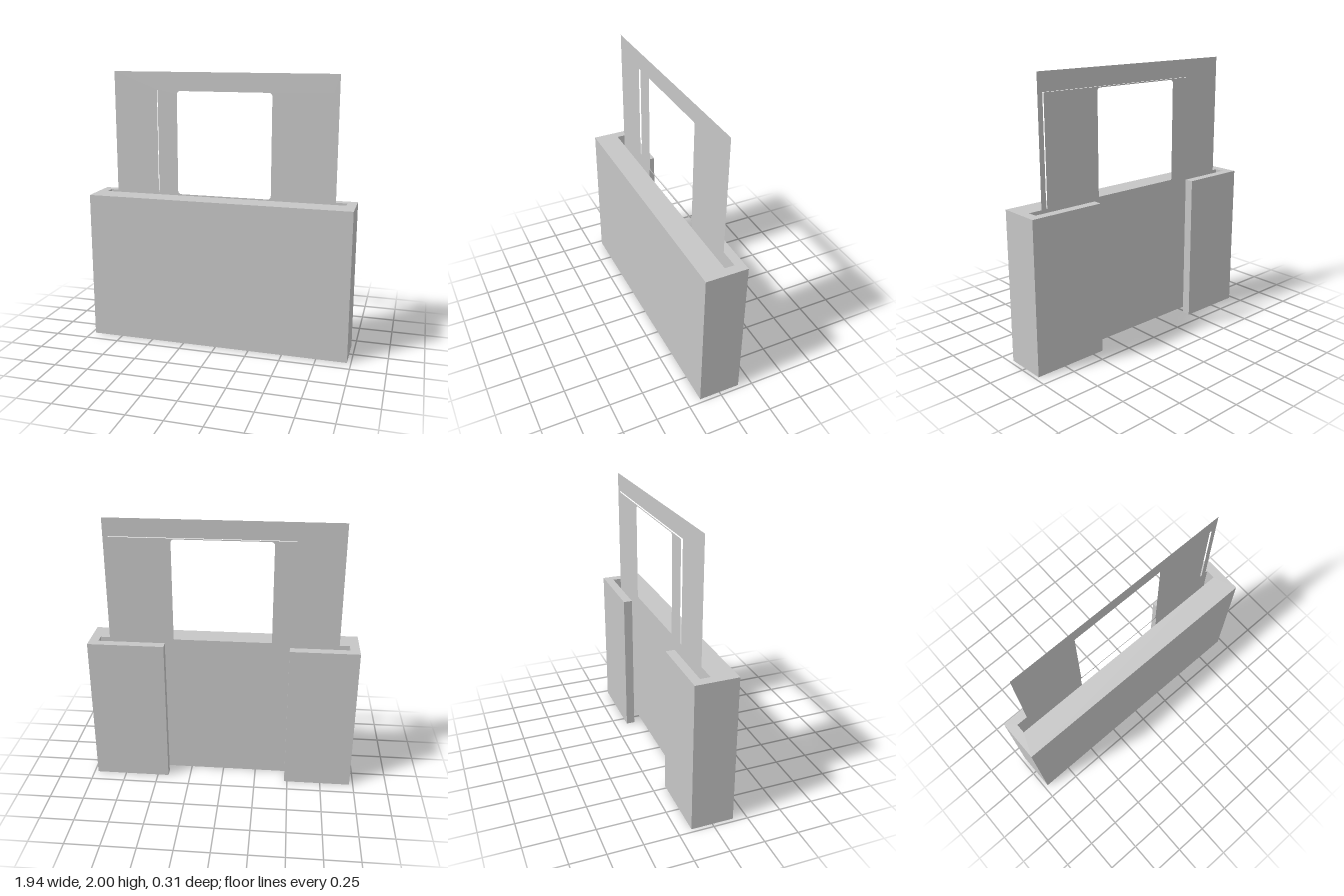
import * as THREE from 'three';

const grey = new THREE.MeshStandardMaterial({ color: 0xc6c6c6 });
grey.name = 'light grey';
const sheetGrey = new THREE.MeshStandardMaterial({ color: 0xc6c6c6, side: THREE.DoubleSide });
sheetGrey.name = 'light grey sheet';

function polygon(points) {
  return new THREE.Shape(points.map(([x, y]) => new THREE.Vector2(x, y)));
}

function roundedHole(x0, y0, x1, y1, r) {
  const p = new THREE.Path();
  p.moveTo(x0 + r, y0);
  p.lineTo(x1 - r, y0);
  p.absarc(x1 - r, y0 + r, r, -Math.PI / 2, 0);
  p.lineTo(x1, y1 - r);
  p.absarc(x1 - r, y1 - r, r, 0, Math.PI / 2);
  p.lineTo(x0 + r, y1);
  p.absarc(x0 + r, y1 - r, r, Math.PI / 2, Math.PI);
  p.lineTo(x0, y0 + r);
  p.absarc(x0 + r, y0 + r, r, Math.PI, Math.PI * 1.5);
  return p;
}

export function createModel() {
  const group = new THREE.Group();
  const add = (name, geometry, material, z = 0) => {
    const mesh = new THREE.Mesh(geometry, material);
    mesh.name = name;
    mesh.position.z = z;
    group.add(mesh);
  };

  // Holder: C-shaped plan (x, -z) raised to full height
  const plan = polygon([
    [-0.972, -0.153], [0.972, -0.153], [0.972, 0.153], [0.418, 0.153],
    [0.418, 0.088], [0.904, 0.088], [0.904, 0.018], [-0.904, 0.018],
    [-0.904, 0.088], [-0.478, 0.088], [-0.478, 0.153], [-0.972, 0.153],
  ]);
  const holder = new THREE.ExtrudeGeometry(plan, { depth: 1.1, bevelEnabled: false });
  holder.rotateX(-Math.PI / 2);
  add('holder', holder, grey);

  // Outer sheet: an upside-down U standing in the slot
  const frame = polygon([
    [-0.83, 0.25], [-0.499, 0.25], [-0.499, 1.87], [0.79, 1.87],
    [0.79, 0.25], [0.828, 0.25], [0.828, 2], [-0.83, 2],
  ]);
  add('outerSheet', new THREE.ShapeGeometry(frame), sheetGrey, -0.048);

  // Inner sheet, just behind: two legs joined around a round-cornered window
  const panel = polygon([
    [-0.499, 0.262], [-0.355, 0.262], [-0.355, 1.09], [0.365, 1.09],
    [0.365, 0.262], [0.79, 0.262], [0.79, 1.87], [-0.499, 1.87],
  ]);
  panel.holes.push(roundedHole(-0.35, 1.1, 0.357, 1.863, 0.025));
  add('windowSheet', new THREE.ShapeGeometry(panel, 8), sheetGrey, -0.06);

  return group;
}
